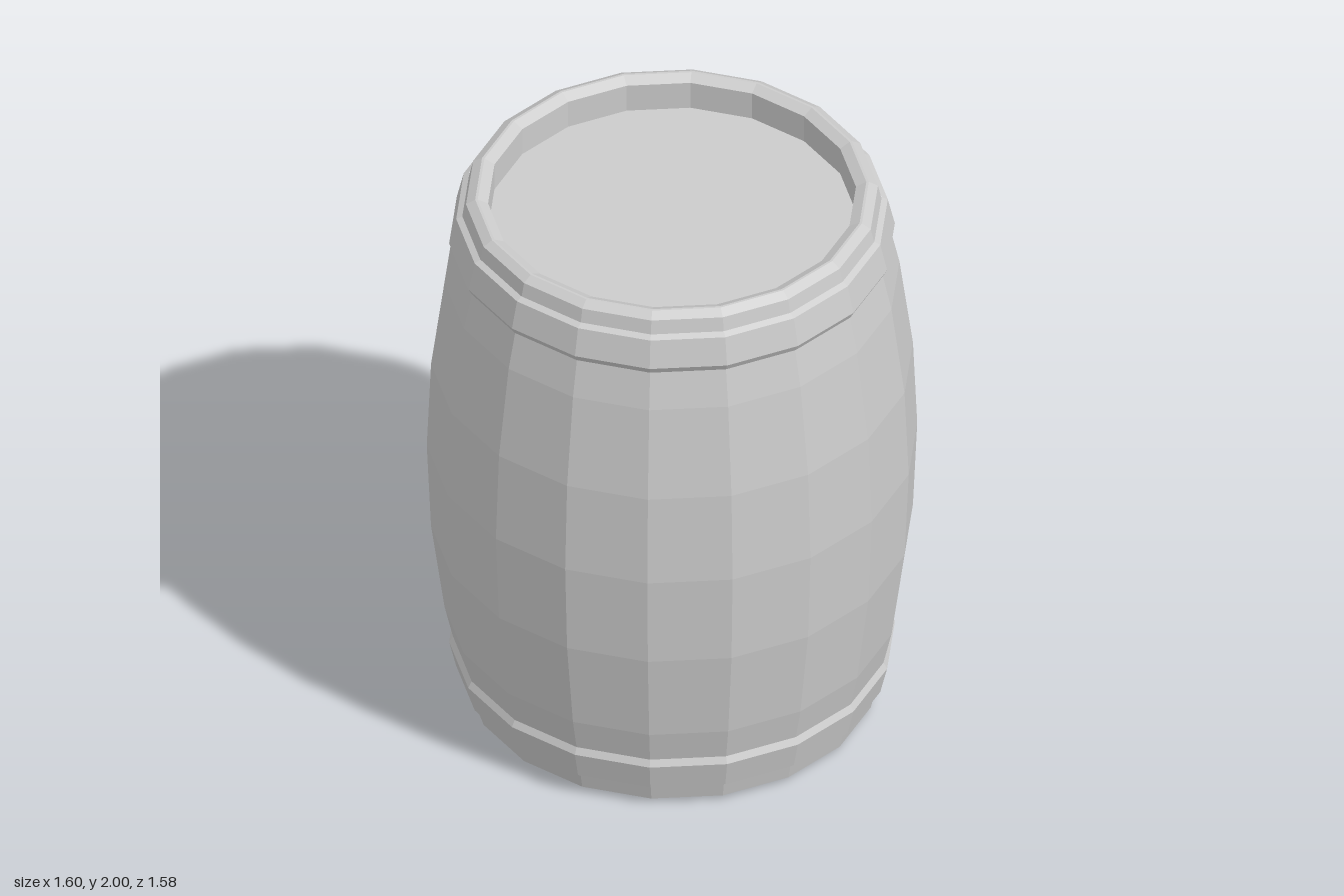
import * as THREE from 'three';

const SIDES = 18;
const START = THREE.MathUtils.degToRad(11); // slight twist of the ring of staves

export function createModel() {
  const barrel = new THREE.Group();
  barrel.name = 'barrel';
  const material = new THREE.MeshStandardMaterial({ color: 0xcccccc, flatShading: true });

  // Profiles run bottom to top as [radius, y] so faces point outward
  const addLathe = (name, profile) => {
    const points = profile.map(([r, y]) => new THREE.Vector2(r, y));
    const mesh = new THREE.Mesh(new THREE.LatheGeometry(points, SIDES, START), material);
    mesh.name = name;
    barrel.add(mesh);
    return mesh;
  };
  const flip = (profile) => profile.map(([r, y]) => [r, 2 - y]).reverse();

  // Staves: straight recess wall, lip bevelled on both sides, bulging side
  const lowerHalf = [
    [0.6, 0.12], [0.6, 0.018], [0.634, 0], [0.642, 0], [0.672, 0.018],
    [0.742, 0.333], [0.786, 0.667],
  ];
  addLathe('staves', [...lowerHalf, [0.8, 1], ...flip(lowerHalf)]);

  // Flat heads set into both ends
  const head = [[0, 0.12], [0.6, 0.12]];
  addLathe('bottomHead', head);
  addLathe('topHead', flip(head));

  // Hoops around both ends, the top one sitting slightly higher
  const hoop = [[0.684, 0.078], [0.704, 0.088], [0.727, 0.187], [0.714, 0.212]];
  addLathe('bottomHoop', hoop);
  addLathe('topHoop', flip(hoop)).position.y = 0.012;

  return barrel;
}
